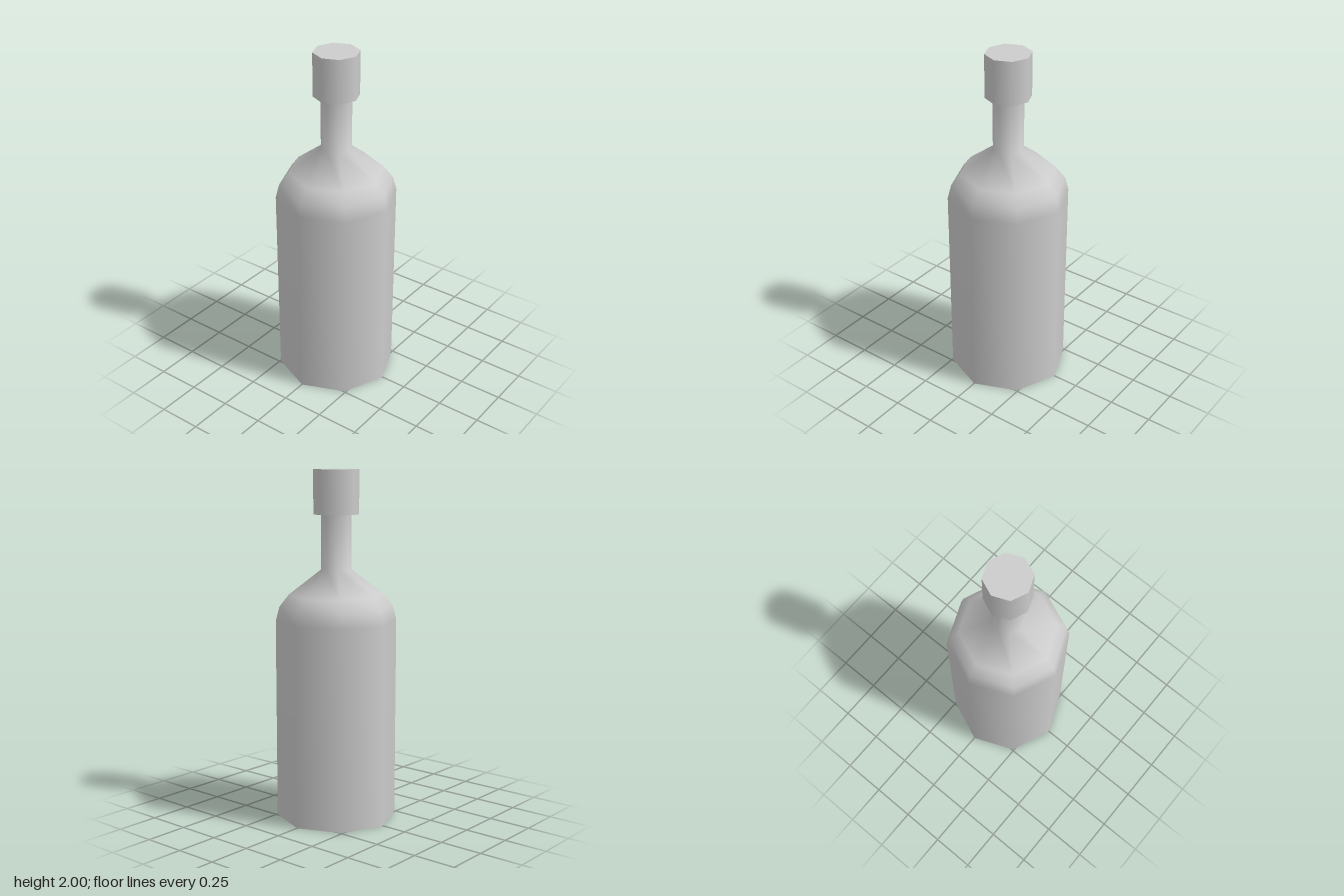
import * as THREE from 'three';

const SIDES = 8;

export function createModel() {
  const model = new THREE.Group();
  model.name = 'bottle';
  const grey = new THREE.MeshStandardMaterial({ color: 0xcccccc });
  grey.name = 'light grey';

  const add = (name, geometry, y = 0) => {
    const mesh = new THREE.Mesh(geometry, grey);
    mesh.name = name;
    mesh.position.y = y;
    model.add(mesh);
  };
  // Eight-sided smooth surface turned from [radius, height] pairs
  const turned = (profile) =>
    new THREE.LatheGeometry(profile.map(([r, y]) => new THREE.Vector2(r, y)), SIDES);

  // Flat underside, kept separate for a sharp bottom edge
  add('base', turned([[0, 0], [0.345, 0]]));

  // Body, rounded shoulder and neck
  add('body', turned([
    [0.345, 0], [0.345, 1.15], [0.324, 1.23], [0.27, 1.3], [0.087, 1.44], [0.087, 1.76],
  ]));

  // Cap over the mouth
  add('cap', new THREE.CylinderGeometry(0.129, 0.129, 0.25, SIDES), 1.875);

  return model;
}
